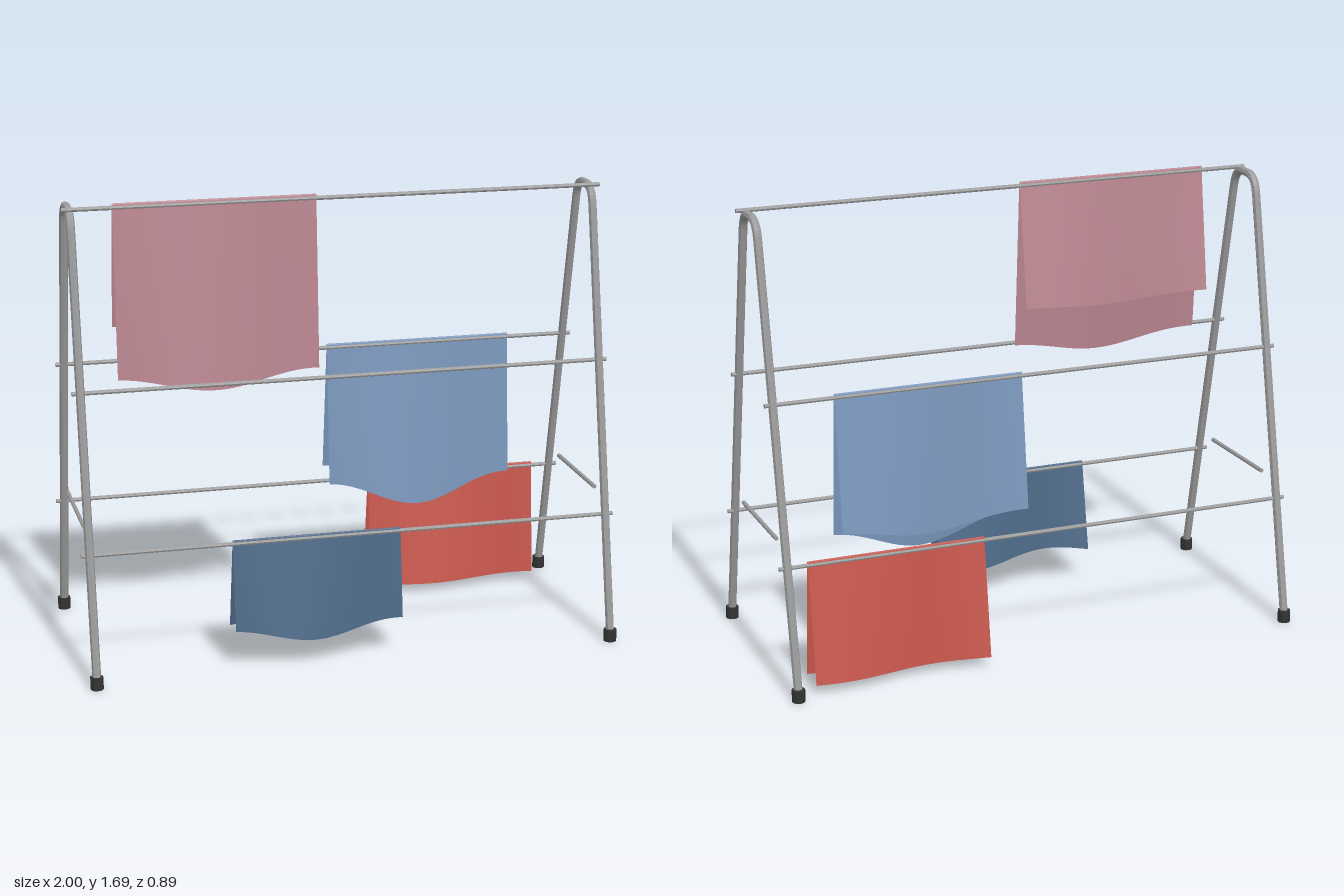
import * as THREE from 'three';

const mat = (name, color, side = THREE.FrontSide, flatShading = false) => {
  const m = new THREE.MeshStandardMaterial({ color, side, flatShading });
  m.name = name;
  return m;
};

export function createModel() {
  const group = new THREE.Group();
  const steel = mat('steel grey', 0x9c9c9c, THREE.FrontSide, true);
  const rubber = mat('dark rubber', 0x333333, THREE.FrontSide, true);
  const add = (name, geometry, material) => {
    const mesh = new THREE.Mesh(geometry, material);
    mesh.name = name;
    group.add(mesh);
    return mesh;
  };

  // Bent tube end frames with rubber feet
  const P = (z, y) => new THREE.Vector3(0, y, z);
  const arch = new THREE.CurvePath();
  arch.add(new THREE.LineCurve3(P(0.418, 0.035), P(0.09, 1.6)));
  arch.add(new THREE.QuadraticBezierCurve3(P(0.09, 1.6), P(0.076, 1.67), P(0.02, 1.67)));
  arch.add(new THREE.LineCurve3(P(0.02, 1.67), P(-0.02, 1.67)));
  arch.add(new THREE.QuadraticBezierCurve3(P(-0.02, 1.67), P(-0.076, 1.67), P(-0.09, 1.6)));
  arch.add(new THREE.LineCurve3(P(-0.09, 1.6), P(-0.418, 0.035)));
  const tube = new THREE.TubeGeometry(arch, 180, 0.016, 8);
  const foot = new THREE.CylinderGeometry(0.024, 0.024, 0.046, 10);
  const bar = new THREE.CylinderGeometry(0.008, 0.008, 0.41, 8);
  for (const sx of [-1, 1]) {
    add('endFrame', tube, steel).position.x = sx * 0.97;
    for (const sz of [-1, 1]) {
      add('foot', foot, rubber).position.set(sx * 0.97, 0.027, sz * 0.419);
    }
    // Short spreader bar inside each end frame
    const spreader = add('spreaderBar', bar, steel);
    spreader.rotation.x = Math.PI / 2;
    spreader.position.set(sx * 0.97, 0.543, 0);
  }

  // Long hanging rails
  const rail = new THREE.CylinderGeometry(0.008, 0.008, 2, 8);
  for (const [y, z] of [[1.675, 0.073], [1.04, 0.203], [1.04, -0.207], [0.473, 0.32], [0.473, -0.325]]) {
    const mesh = add('rail', rail, steel);
    mesh.rotation.z = Math.PI / 2;
    mesh.position.set(0, y, z);
  }

  // Cloth pinched over a rail: front hem, up to a narrow fold, down to the back hem
  const drape = (name, material, x0, x1, railY, railZ, frontHem, backHem) => {
    const foldHeight = 0.014, foldHalf = 0.004, arc = 0.1;
    const geo = new THREE.PlaneGeometry(1, 2, 28, 60);
    const pos = geo.attributes.position;
    for (let i = 0; i < pos.count; i++) {
      const u = pos.getX(i) + 0.5, v = pos.getY(i);
      const side = v > 0 ? -1 : 1, s = Math.abs(v);
      let y, z;
      if (s < arc) {
        const a = (s / arc) * Math.PI / 2;
        y = railY + foldHeight * Math.cos(a);
        z = side * foldHalf * Math.sin(a);
      } else {
        const t = (s - arc) / (1 - arc);
        const hem = (side > 0 ? frontHem : backHem)(u);
        y = THREE.MathUtils.lerp(railY, hem, t);
        z = side * (foldHalf + 0.052 * t) + 0.021 * t * Math.sin(2 * Math.PI * (u - 0.1));
      }
      pos.setXYZ(i, THREE.MathUtils.lerp(x0, x1, u), y, railZ + z);
    }
    geo.computeVertexNormals();
    add(name, geo, material);
  };
  const dip = (base, depth) => (u) => base - depth * Math.sin(Math.PI * u) ** 2;
  const cloth = (name, color) => mat(name, color, THREE.DoubleSide);

  drape('pinkTowel', cloth('dusty pink', 0xbb8690), -0.82, -0.078, 1.677, 0.073, dip(1.055, 0.053), dip(1.225, 0.02));
  drape('blueTowel', cloth('light blue', 0x7a97bc), 0.03, 0.745, 1.041, -0.207, dip(0.51, 0.095), dip(0.55, 0.05));
  drape('navyCloth', cloth('slate navy', 0x4c6886), -0.45, 0.177, 0.473, 0.32, dip(0.15, 0.047),
    (u) => 0.135 + 0.018 * Math.sin(2 * Math.PI * u));
  drape('redCloth', cloth('brick red', 0xc8574d), 0.225, 0.895, 0.474, -0.325, dip(0.04, 0.004), dip(0.04, 0.004));

  return group;
}
